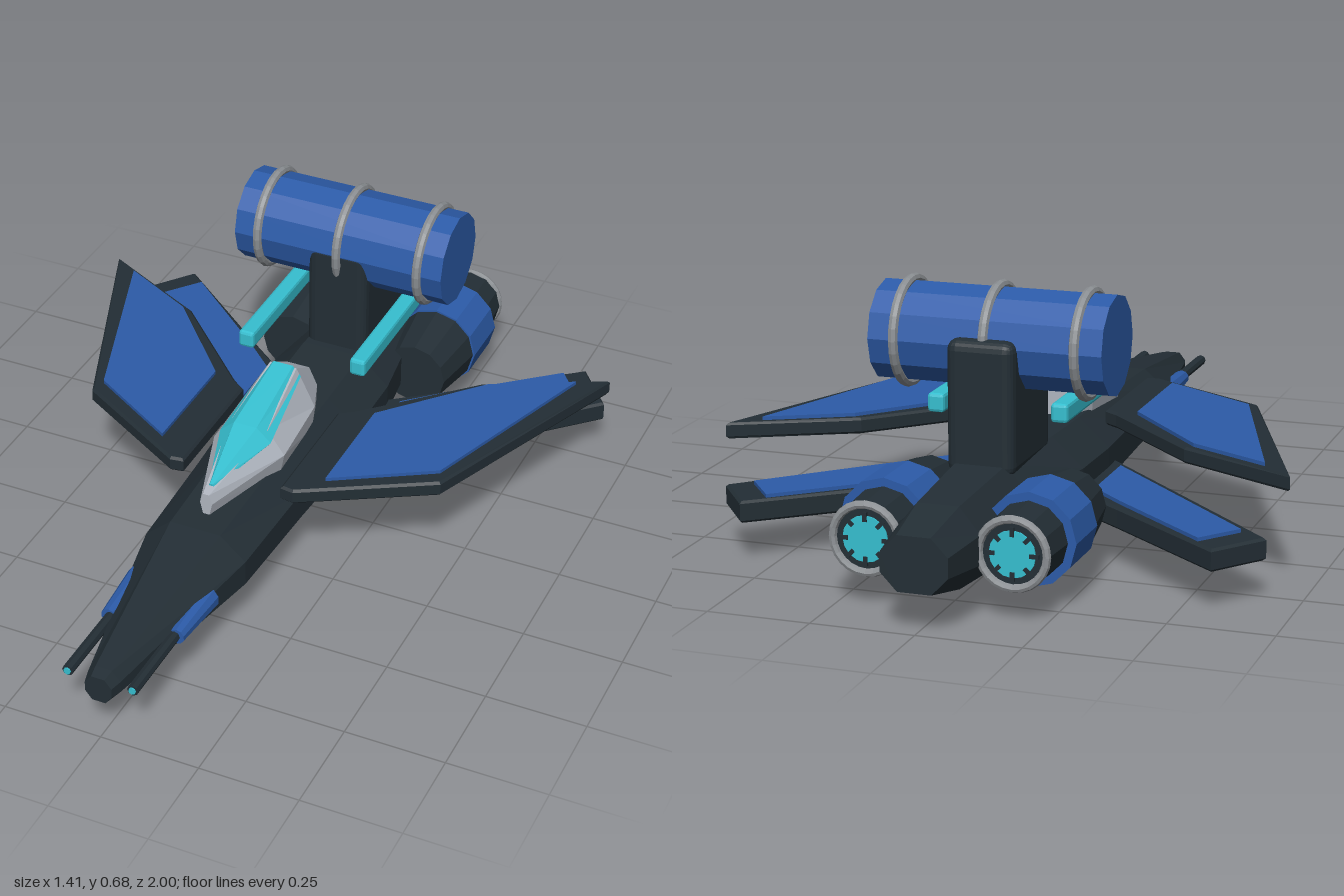
import * as THREE from 'three';
import { RoundedBoxGeometry } from 'three/addons/geometries/RoundedBoxGeometry.js';

const mat = (name, color, side = THREE.FrontSide) => {
  const m = new THREE.MeshStandardMaterial({ color, flatShading: true, side });
  m.name = name;
  return m;
};

// Loft through rings given as half profiles [x, y] from bottom to top, front to back
function loft(sections) {
  const pos = [], idx = [];
  const n = sections[0].half.length * 2;
  for (const { z, half } of sections) {
    for (const [x, y] of half) pos.push(x, y, z);
    for (const [x, y] of [...half].reverse()) pos.push(-x, y, z);
  }
  for (let s = 0; s < sections.length - 1; s++) {
    for (let k = 0; k < n; k++) {
      const a = s * n + k, b = s * n + (k + 1) % n, c = a + n, d = b + n;
      idx.push(a, c, b, b, c, d);
    }
  }
  const last = (sections.length - 1) * n;
  for (let k = 1; k < n - 1; k++) {
    idx.push(0, k, k + 1, last, last + k + 1, last + k);
  }
  const g = new THREE.BufferGeometry();
  g.setAttribute('position', new THREE.Float32BufferAttribute(pos, 3));
  g.setIndex(idx);
  const flat = g.toNonIndexed();
  flat.computeVertexNormals();
  return flat;
}

// Octagonal half ring from half width and vertical extent
const octagon = ([z, w, y0, y1]) => {
  const h = y1 - y0;
  return { z, half: [[w * 0.5, y0], [w, y0 + h * 0.32], [w, y0 + h * 0.68], [w * 0.5, y1]] };
};

// Flat plate from [x, z] outline, between two heights
function plate(points, y0, y1, side, bevel) {
  const shape = new THREE.Shape(points.map(([x, z]) => new THREE.Vector2(x * side, -z)));
  const g = new THREE.ExtrudeGeometry(shape, {
    depth: y1 - y0 - 2 * bevel, bevelEnabled: bevel > 0, bevelSize: bevel,
    bevelThickness: bevel, bevelOffset: -bevel, bevelSegments: 1,
  });
  g.rotateX(-Math.PI / 2);
  g.translate(0, y0 + bevel, 0);
  return g;
}

// Tube along z: radius rf at the front zf, rb at the back zb
function tubeZ(rf, rb, zf, zb, sides) {
  const g = new THREE.CylinderGeometry(rf, rb, zf - zb, sides);
  g.rotateX(Math.PI / 2);
  g.translate(0, 0, (zf + zb) / 2);
  return g;
}

export function createModel() {
  const root = new THREE.Group();
  root.name = 'starfighter';
  const dark = mat('dark hull', 0x232e35);
  const blue = mat('blue paint', 0x2c5ba8);
  const cyan = mat('cyan glow', 0x36bfd0);
  const silver = mat('silver frame', 0xb0b6c0);
  const steel = mat('steel', 0x8c9094);

  const add = (name, geometry, material, x = 0, y = 0, z = 0) => {
    const m = new THREE.Mesh(geometry, material);
    m.name = name;
    m.position.set(x, y, z);
    root.add(m);
    return m;
  };

  // Fuselage: z, half width, bottom, top
  add('fuselage', loft([
    [1.0, 0.034, 0.112, 0.18], [0.97, 0.042, 0.107, 0.186], [0.5, 0.132, 0.075, 0.255],
    [0.2, 0.142, 0.063, 0.268], [-0.1, 0.158, 0.055, 0.275], [-0.3, 0.158, 0.052, 0.28],
    [-0.57, 0.12, 0.05, 0.28], [-0.85, 0.1, 0.068, 0.26], [-1.0, 0.08, 0.1, 0.23],
  ].map(octagon)), dark);

  // Canopy frame and glass
  add('canopyFrame', loft([
    { z: 0.44, half: [[0.008, 0.255], [0.016, 0.29], [0.008, 0.315]] },
    { z: 0.2, half: [[0.085, 0.25], [0.095, 0.3], [0.05, 0.362]] },
    { z: 0.0, half: [[0.08, 0.25], [0.086, 0.315], [0.036, 0.416]] },
    { z: -0.09, half: [[0.05, 0.25], [0.052, 0.315], [0.03, 0.362]] },
  ]), silver);
  add('canopyGlass', loft([
    { z: 0.41, half: [[0.006, 0.3], [0.008, 0.318], [0.004, 0.326]] },
    { z: 0.22, half: [[0.05, 0.32], [0.068, 0.342], [0.03, 0.376]] },
    { z: 0.0, half: [[0.03, 0.37], [0.048, 0.396], [0.026, 0.421]] },
  ]), cyan);

  // Pylon carrying the cross-mounted tank
  add('tankPylon', new RoundedBoxGeometry(0.165, 0.32, 0.27, 2, 0.025), dark, 0, 0.41, -0.455);
  const tank = new THREE.CylinderGeometry(0.12, 0.12, 0.57, 12);
  tank.rotateZ(Math.PI / 2);
  add('tank', tank, blue, 0, 0.55, -0.44);
  for (const x of [-0.22, 0, 0.22]) {
    const band = new THREE.TorusGeometry(0.123, 0.012, 8, 28);
    band.rotateY(Math.PI / 2);
    add('tankBand', band, steel, x, 0.55, -0.44);
  }

  // Belly skid plate
  add('bellyPlate', new RoundedBoxGeometry(0.18, 0.045, 0.28, 2, 0.014), dark, 0, 0.038, -0.14);

  const frontWing = [[0.13, 0.3], [0.165, 0.305], [0.475, 0.125], [0.703, -0.458],
    [0.41, -0.31], [0.165, -0.065], [0.13, -0.04]];
  const frontPanel = [[0.22, 0.235], [0.46, 0.09], [0.63, -0.405], [0.43, -0.3], [0.22, -0.065]];
  const rearWing = [[0.1, 0.02], [0.67, -0.535], [0.575, -0.66], [0.28, -0.42], [0.1, -0.28]];
  const rearPanel = [[0.19, -0.105], [0.605, -0.515], [0.53, -0.61], [0.28, -0.395], [0.19, -0.31]];

  for (const s of [1, -1]) {
    // Wings with painted panels
    add('frontWing', plate(frontWing, 0.245, 0.285, s, 0.006), dark);
    add('frontWingPanel', plate(frontPanel, 0.285, 0.294, s, 0), blue);
    add('rearWing', plate(rearWing, 0.102, 0.156, s, 0.006), dark);
    add('rearWingPanel', plate(rearPanel, 0.156, 0.165, s, 0), blue);

    // Engines
    const ex = 0.175 * s, ey = 0.163;
    add('engineIntake', tubeZ(0.085, 0.108, -0.44, -0.595, 12), dark, ex, ey);
    add('engineBand', tubeZ(0.112, 0.112, -0.59, -0.74, 12), blue, ex, ey);
    add('engineNozzle', tubeZ(0.092, 0.085, -0.735, -0.85, 12), dark, ex, ey);
    add('nozzleRing', new THREE.TorusGeometry(0.08, 0.01, 8, 24), steel, ex, ey, -0.85);
    add('thrusterGlow', tubeZ(0.055, 0.055, -0.848, -0.854, 16), cyan, ex, ey);
    for (let i = 0; i < 8; i++) {
      const a = (i / 8) * Math.PI * 2;
      const vane = add('thrusterVane', new THREE.BoxGeometry(0.022, 0.01, 0.008), dark,
        ex + Math.cos(a) * 0.052, ey + Math.sin(a) * 0.052, -0.853);
      vane.rotation.z = a;
    }

    // Nose guns
    add('gunPod', tubeZ(0.02, 0.032, 0.78, 0.62, 10), blue, 0.088 * s, 0.166);
    add('gunBarrel', tubeZ(0.014, 0.014, 0.99, 0.74, 8), dark, 0.083 * s, 0.166);
    add('gunTip', tubeZ(0.009, 0.009, 0.994, 0.988, 8), cyan, 0.083 * s, 0.166);

    // Glowing rails beside the pylon and landing skids
    add('glowRail', new RoundedBoxGeometry(0.042, 0.046, 0.365, 1, 0.008), cyan, 0.153 * s, 0.384, -0.287);
    add('landingSkid', tubeZ(0.008, 0.008, -0.05, -0.225, 8), steel, 0.1 * s, 0.012);
  }
  return root;
}
